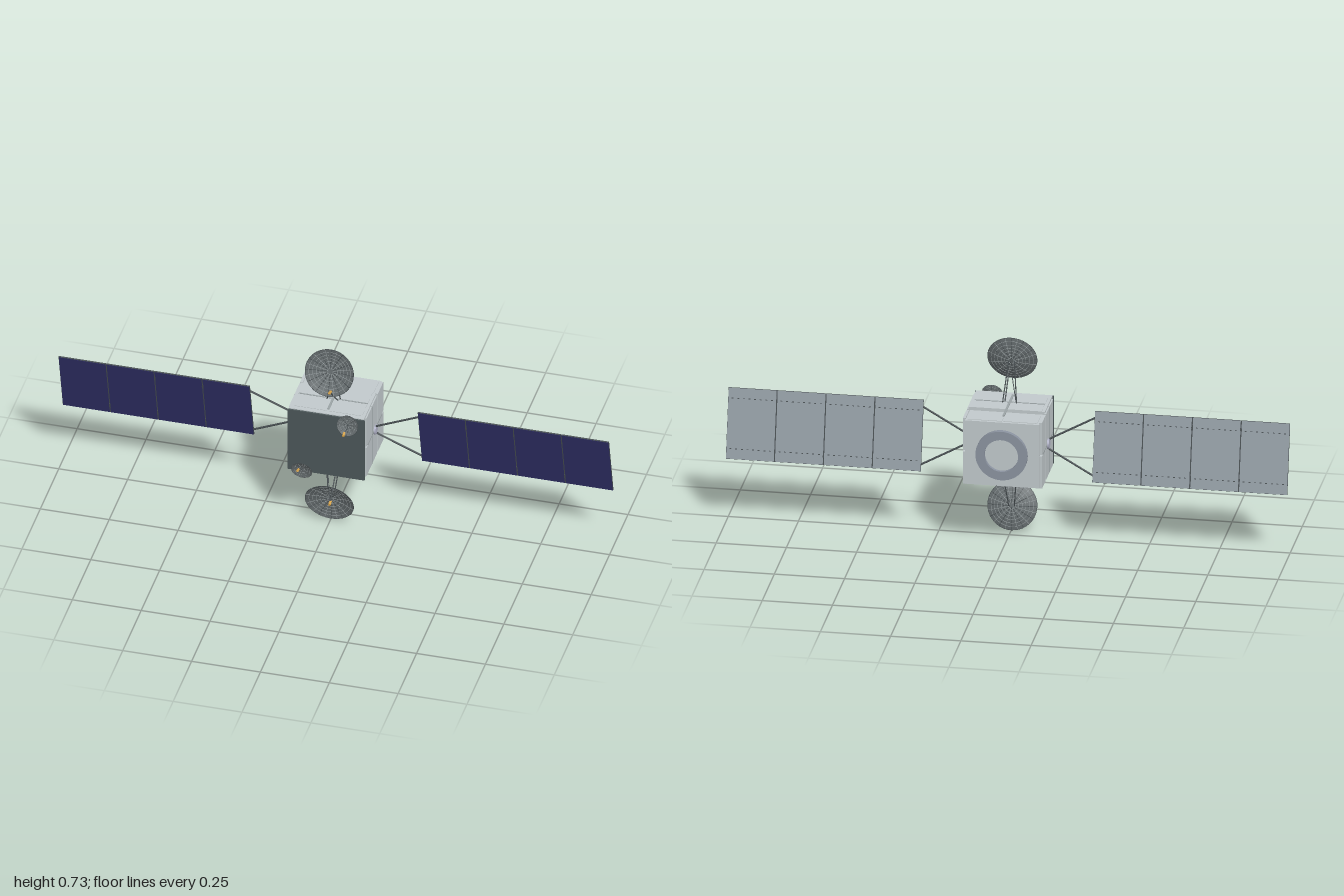
import * as THREE from 'three';

const mat = (name, color) => {
  const m = new THREE.MeshStandardMaterial({ color });
  m.name = name;
  return m;
};
const CY = 0.3665; // height of the satellite's axis
const V = (x, y, z) => new THREE.Vector3(x, y, z);

export function createModel() {
  const light = mat('light grey panel', 0xc1c9cc);
  const grey = mat('seam and rib grey', 0x9ba3a5);
  const dark = mat('dark front', 0x4c5759);
  const black = mat('dark strut', 0x484f52);
  const blue = mat('solar blue', 0x2f2f66);
  const back = mat('array back grey', 0x939da4);
  const steel = mat('engine ring blue grey', 0x8b93a0);
  const pale = mat('pale hub', 0xb0b2c6);
  const gold = mat('gold feed', 0xd9a74f);
  const mesh = mat('dish mesh', 0x646b6d);
  mesh.side = steel.side = THREE.DoubleSide;

  const root = new THREE.Group();
  root.name = 'satellite';

  const add = (parent, name, geo, material, x = 0, y = 0, z = 0) => {
    const m = new THREE.Mesh(geo, material);
    m.name = name;
    m.position.set(x, y, z);
    parent.add(m);
    return m;
  };
  const box = (parent, name, material, w, h, d, x, y, z) =>
    add(parent, name, new THREE.BoxGeometry(w, h, d), material, x, y, z);
  const rod = (parent, name, material, a, b, r, sides = 8) => {
    const d = b.clone().sub(a);
    const m = add(parent, name, new THREE.CylinderGeometry(r, r, d.length(), sides), material);
    m.position.copy(a).add(b).multiplyScalar(0.5);
    m.quaternion.setFromUnitVectors(V(0, 1, 0), d.normalize());
    return m;
  };

  // Body: main block, slightly smaller rear block and dark front plate
  box(root, 'mainBlock', light, 0.272, 0.262, 0.158, 0, CY, 0.026);
  box(root, 'rearBlock', light, 0.264, 0.24, 0.097, 0, CY, -0.1015);
  box(root, 'frontPlate', dark, 0.28, 0.256, 0.006, 0, CY, 0.108);

  // Raised panels on the four long sides
  for (let i = 0; i < 4; i++) {
    const side = new THREE.Group();
    side.name = 'sidePanels' + (i + 1);
    side.position.y = CY;
    side.rotation.z = i * Math.PI / 2;
    root.add(side);
    const isX = i % 2 === 0;
    for (const s of [-1, 1]) {
      for (const [z, len] of [[0.0515, 0.073], [-0.0215, 0.065], [-0.1025, 0.075]]) {
        const outer = isX ? 0.141 : z > -0.06 ? 0.1325 : 0.122;
        box(side, 'panel', light, 0.01, 0.122, len, outer - 0.005, s * 0.0635, z);
      }
    }
    // Rails over the seams; the upper and lower ones overhang the rear block
    if (isX) {
      box(side, 'seamRail', grey, 0.006, 0.005, 0.19, 0.139, 0, -0.025);
      box(side, 'seamRail', grey, 0.006, 0.245, 0.005, 0.139, 0, 0.0125);
    } else {
      box(side, 'seamRail', grey, 0.003, 0.008, 0.2, 0.1335, 0, -0.02);
      box(side, 'seamRail', grey, 0.003, 0.25, 0.005, 0.1325, 0, 0.0125);
    }
  }

  // Engine ring on the rear face, with doubled profile corners for sharp edges
  const ringProfile = [[0.092, -0.002], [0.092, 0.016], [0.06, 0.016], [0.06, -0.002]]
    .flatMap(([r, y]) => [new THREE.Vector2(r, y), new THREE.Vector2(r, y)]);
  const ring = add(root, 'engineRing', new THREE.LatheGeometry(ringProfile, 48), steel, 0, CY, -0.15);
  ring.rotation.x = -Math.PI / 2;
  const disc = add(root, 'engineDisc', new THREE.CylinderGeometry(0.06, 0.06, 0.004, 40), light, 0, CY, -0.151);
  disc.rotation.x = Math.PI / 2;

  // Solar wings
  for (const s of [-1, 1]) {
    const wing = new THREE.Group();
    wing.name = s > 0 ? 'leftSolarWing' : 'rightSolarWing';
    wing.position.set(0, CY, -0.025);
    wing.rotation.x = 0.235;
    root.add(wing);
    for (let i = 0; i < 4; i++) {
      const x = s * (0.391 + i * 0.174);
      box(wing, 'panelFrame', black, 0.172, 0.254, 0.005, x, 0, 0);
      box(wing, 'solarCells', blue, 0.17, 0.252, 0.002, x, 0, 0.0025);
      box(wing, 'panelBack', back, 0.17, 0.252, 0.002, x, 0, -0.0025);
      for (const e of [-1, 1]) {
        for (let k = 0; k < 8; k++) {
          box(wing, 'backStud', black, 0.007, 0.003, 0.001, x + (k - 3.5) * 0.02, e * 0.09, -0.0037);
        }
        if (i < 3) box(wing, 'hinge', black, 0.006, 0.02, 0.007, x + s * 0.087, e * 0.09, 0);
      }
    }
    for (const x of [0.478, 0.652, 0.826]) box(wing, 'panelGap', black, 0.004, 0.254, 0.004, s * x, 0, 0);
    for (const e of [-1, 1]) {
      rod(wing, 'wingStrut', black, V(s * 0.147, e * 0.018, 0), V(s * 0.307, e * 0.103, 0), 0.0035);
    }
    const hub = add(wing, 'wingHub', new THREE.CylinderGeometry(0.018, 0.018, 0.012, 24), pale, s * 0.142);
    hub.rotation.z = Math.PI / 2;
  }

  // Mesh dish: rim centred on the group's origin, opening along local +y
  const dish = (name, R, depth, centre, normal, ribs, rings) => {
    const g = new THREE.Group();
    g.name = name;
    g.position.copy(centre);
    g.quaternion.setFromUnitVectors(V(0, 1, 0), normal.clone().normalize());
    root.add(g);
    const h = (r) => depth * ((r / R) ** 2 - 1);
    const pts = [];
    for (let i = 0; i <= 8; i++) pts.push(new THREE.Vector2(R * i / 8, h(R * i / 8)));
    add(g, 'dishBowl', new THREE.LatheGeometry(pts, 40), mesh);
    const wire = R * 0.011;
    for (let i = 1; i <= rings; i++) {
      const r = R * i / rings;
      const t = add(g, 'dishRing', new THREE.TorusGeometry(r, wire, 4, 40), i < rings ? grey : black, 0, h(r), 0);
      t.rotation.x = Math.PI / 2;
    }
    const curve = new THREE.CatmullRomCurve3([0.08, 0.4, 0.7, 1].map((f) => V(f * R, h(f * R), 0)));
    const ribGeo = new THREE.TubeGeometry(curve, 6, wire, 4);
    for (let i = 0; i < ribs; i++) {
      add(g, 'dishRib', ribGeo, i % 2 ? grey : black).rotation.y = i * Math.PI * 2 / ribs;
    }
  };

  // Upper and lower antennas mirror each other about the axis
  for (const s of [1, -1]) {
    const P = (x, dy, z) => V(x, CY + s * dy, z);
    const tag = s > 0 ? 'upper' : 'lower';

    // Large dish, its support legs and its feed
    dish(tag + 'LargeDish', 0.088, 0.017, P(0, 0.279, 0.066), V(0, s * 0.269, 0.963), 24, 7);
    for (const e of [-1, 1]) {
      rod(root, 'dishLeg', black, P(e * 0.025, 0.13, 0.007), P(e * 0.01, 0.275, 0.049), 0.002);
    }
    rod(root, 'feedArm', black, P(0.018, 0.13, 0.016), P(0.018, 0.237, 0.122), 0.0022);
    rod(root, 'feedArmBrace', black, P(-0.022, 0.13, 0.016), P(0.018, 0.237, 0.122), 0.0016);
    rod(root, 'largeFeed', gold, P(0.018, 0.241, 0.132), P(0.018, 0.236, 0.115), 0.005, 12);

    // Small dish on the front plate
    const x = s * 0.083;
    dish(tag + 'SmallDish', 0.038, 0.008, P(x, 0.1115, 0.131), V(0, s * 0.245, 0.97), 16, 4);
    for (const dy of [0.099, 0.109]) {
      rod(root, 'smallDishMount', black, P(x, dy, 0.108), P(x, dy + 0.002, 0.126), 0.002);
    }
    rod(root, 'smallFeedArm', black, P(x, 0.1, 0.126), P(x - 0.006, 0.093, 0.153), 0.0016);
    rod(root, 'smallFeed', gold, P(x - 0.006, 0.0945, 0.15), P(x - 0.006, 0.09, 0.166), 0.0045, 12);
  }

  return root;
}
